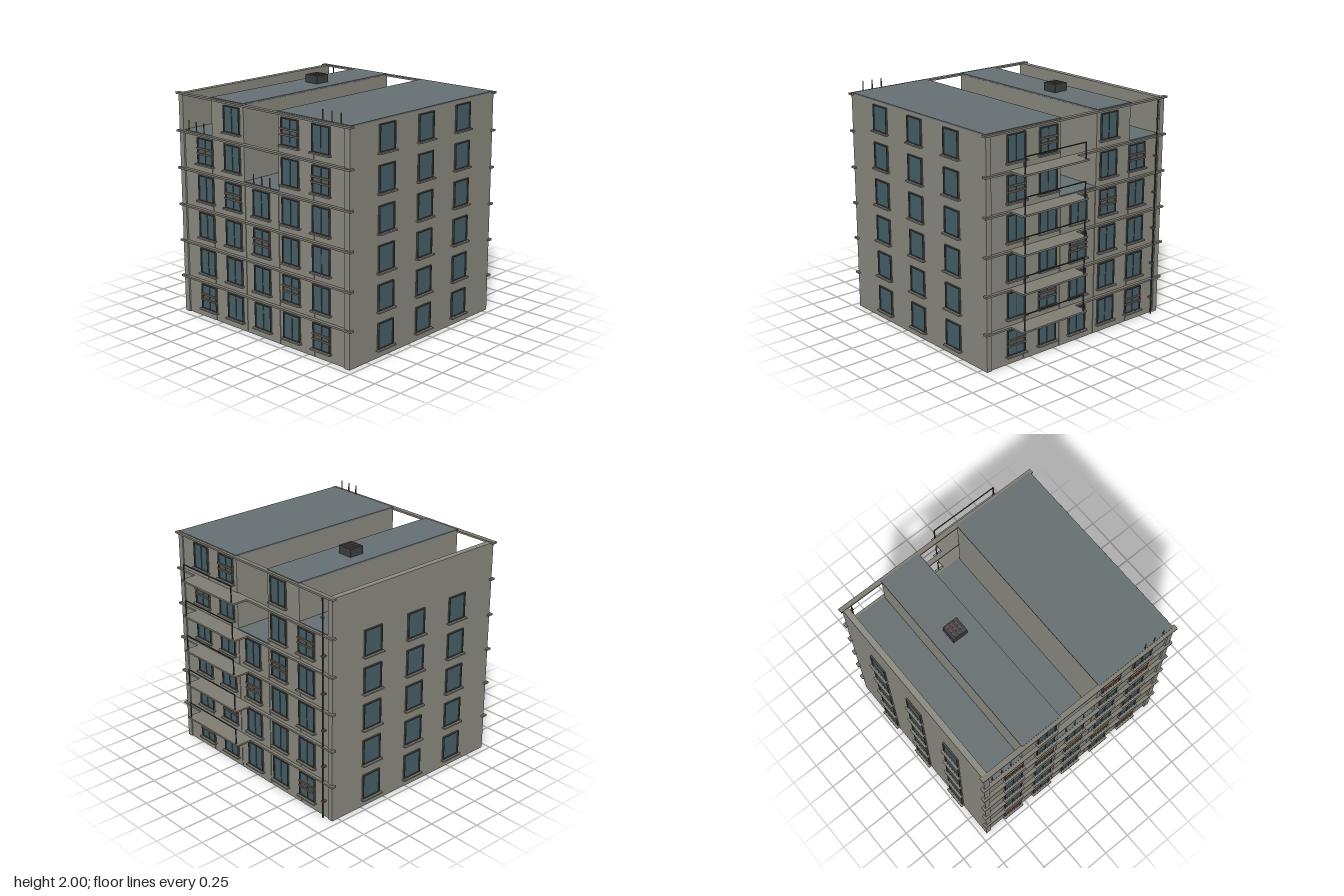
import * as THREE from 'three';

const mat = (color) => new THREE.MeshStandardMaterial({ color });
const WALL = mat(0x8c8b82), TRIM = mat(0x807d74), ROOF = mat(0x677072), GLASS = mat(0x466169);
const FRAME = mat(0x4a4743), METAL = mat(0x3c4042), WOOD = mat(0x7c6350), RUST = mat(0x7d5342);

// Box given by its min and max along each axis
function box(parent, name, material, [x0, x1], [y0, y1], [z0, z1]) {
  const m = new THREE.Mesh(new THREE.BoxGeometry(x1 - x0, y1 - y0, z1 - z0), material);
  m.position.set((x0 + x1) / 2, (y0 + y1) / 2, (z0 + z1) / 2);
  m.name = name;
  parent.add(m);
  return m;
}

function rod(parent, name, material, x, z, y0, y1, r) {
  const m = new THREE.Mesh(new THREE.CylinderGeometry(r, r, y1 - y0, 8), material);
  m.position.set(x, (y0 + y1) / 2, z);
  m.name = name;
  parent.add(m);
}

// Window facing +z; its origin is the bottom middle on the wall surface
function makeWindow(mullion, boarded) {
  const g = new THREE.Group();
  g.name = 'window';
  const w = 0.092, h = 0.222, t = 0.009;
  box(g, 'glass', GLASS, [-w + t, w - t], [t, h - t], [-0.005, 0.005]);
  for (const s of [-1, 1]) {
    const a = s * w, b = s * (w - t);
    box(g, 'frameSide', FRAME, [Math.min(a, b), Math.max(a, b)], [0, h], [-0.005, 0.015]);
  }
  box(g, 'frameTop', FRAME, [-w, w], [h - t, h], [-0.005, 0.015]);
  box(g, 'frameBottom', FRAME, [-w, w], [0, t], [-0.005, 0.015]);
  if (mullion) box(g, 'mullion', FRAME, [-0.004, 0.004], [t, h - t], [0, 0.01]);
  box(g, 'sill', TRIM, [-0.104, 0.104], [-0.008, 0.004], [-0.005, 0.034]);
  if (boarded) {
    for (const y of [0.09, 0.135]) box(g, 'board', WOOD, [-w, w], [y - 0.007, y + 0.007], [0.012, 0.022]);
  }
  return g;
}

export function createModel() {
  const model = new THREE.Group();
  model.name = 'apartmentBlock';
  const STOREY = 0.3175, FRONT = 0.935, BACK = -0.8, SIDE = 0.95;

  // Bays of uneven height with narrow joints between them
  const gap = 0.003;
  const bays = [
    [-0.9, -0.57, 1.59],
    [-0.57, -0.19, 1.908],
    [-0.19, 0.19, 1.275],
    [0.19, 0.57, 1.908],
    [0.57, 0.9, 1.908],
  ];
  bays.forEach(([x0, x1, top], i) => {
    box(model, 'bay', WALL, [x0 + (i > 0 ? gap : 0), x1 - (i < 4 ? gap : 0)], [0, top], [BACK, FRONT]);
  });

  // Side walls, ending in piers at the corners
  box(model, 'leftWall', WALL, [0.9, SIDE], [0, 1.908], [-0.81, 0.95]);
  box(model, 'rightWall', WALL, [-SIDE, -0.9], [0, 1.908], [-0.81, 0.95]);

  // Roof sheets
  for (const [x0, x1, y] of [[-0.9, -0.57, 1.59], [-0.57, -0.195, 1.908], [-0.19, 0.19, 1.275], [0.19, SIDE, 1.908]]) {
    box(model, 'roof', ROOF, [x0, x1], [y, y + 0.012], [BACK - 0.005, FRONT + 0.002]);
  }

  // Storey bands along front and back, bridging the open bays
  for (let f = 1; f <= 6; f++) {
    const y = f * STOREY;
    box(model, 'frontBand', TRIM, [-0.97, 0.97], [y - 0.007, y + 0.009], [0.922, 0.967]);
    box(model, 'backBand', TRIM, [-0.97, 0.97], [y - 0.007, y + 0.009], [-0.828, -0.788]);
  }

  // Windows
  for (let f = 0; f < 6; f++) {
    const y = 0.07 + f * STOREY;
    for (let c = 0; c < 5; c++) {
      if ((c === 0 && f > 4) || (c === 2 && f > 3)) continue;
      const boarded = (f * 5 + c) % 4 === 0;
      const x = (c - 2) * 0.325;
      const front = makeWindow(true, boarded);
      front.position.set(x, y, FRONT);
      const back = makeWindow(true, boarded);
      back.position.set(x, y, BACK);
      back.rotation.y = Math.PI;
      model.add(front, back);
    }
    for (const z of [0.535, 0.07, -0.395]) {
      for (const s of [-1, 1]) {
        if (s < 0 && f === 5) continue;
        const side = makeWindow(false, false);
        side.position.set(s * SIDE, y, z);
        side.rotation.y = s * Math.PI / 2;
        model.add(side);
      }
    }
  }

  // Back balconies with plain rails
  for (let f = 1; f <= 5; f++) {
    const y = f * STOREY;
    const balcony = new THREE.Group();
    balcony.name = 'balcony';
    box(balcony, 'slab', TRIM, [0.04, 0.72], [y - 0.006, y + 0.009], [-0.967, BACK]);
    box(balcony, 'rail', METAL, [0.066, 0.694], [y + 0.143, y + 0.151], [-0.96, -0.952]);
    for (const x of [0.07, 0.69]) {
      box(balcony, 'post', METAL, [x - 0.004, x + 0.004], [y, y + 0.15], [-0.96, -0.952]);
    }
    model.add(balcony);
  }

  // Bare reinforcing bars on the front roof edges
  for (const [cx, y, h] of [[-0.763, 1.6, 0.085], [-0.003, 1.285, 0.08], [0.755, 1.915, 0.085]]) {
    for (const d of [-0.092, 0, 0.092]) rod(model, 'reinforcingBar', RUST, cx + d, 0.93, y, y + h, 0.005);
  }

  // Roof vent with slats
  box(model, 'vent', METAL, [-0.45, -0.315], [1.918, 1.988], [-0.168, -0.035]);
  for (const x of [-0.42, -0.383, -0.346]) {
    box(model, 'ventSlat', RUST, [x - 0.004, x + 0.004], [1.985, 1.993], [-0.165, -0.038]);
  }

  // Drainpipe at the back corner
  rod(model, 'drainpipe', METAL, -0.86, -0.826, 0, 1.9, 0.006);
  for (let f = 0; f < 6; f++) {
    const y = 0.15 + f * STOREY;
    box(model, 'pipeBracket', RUST, [-0.872, -0.848], [y - 0.006, y + 0.006], [-0.836, f < 5 ? BACK : -0.82]);
  }
  return model;
}
